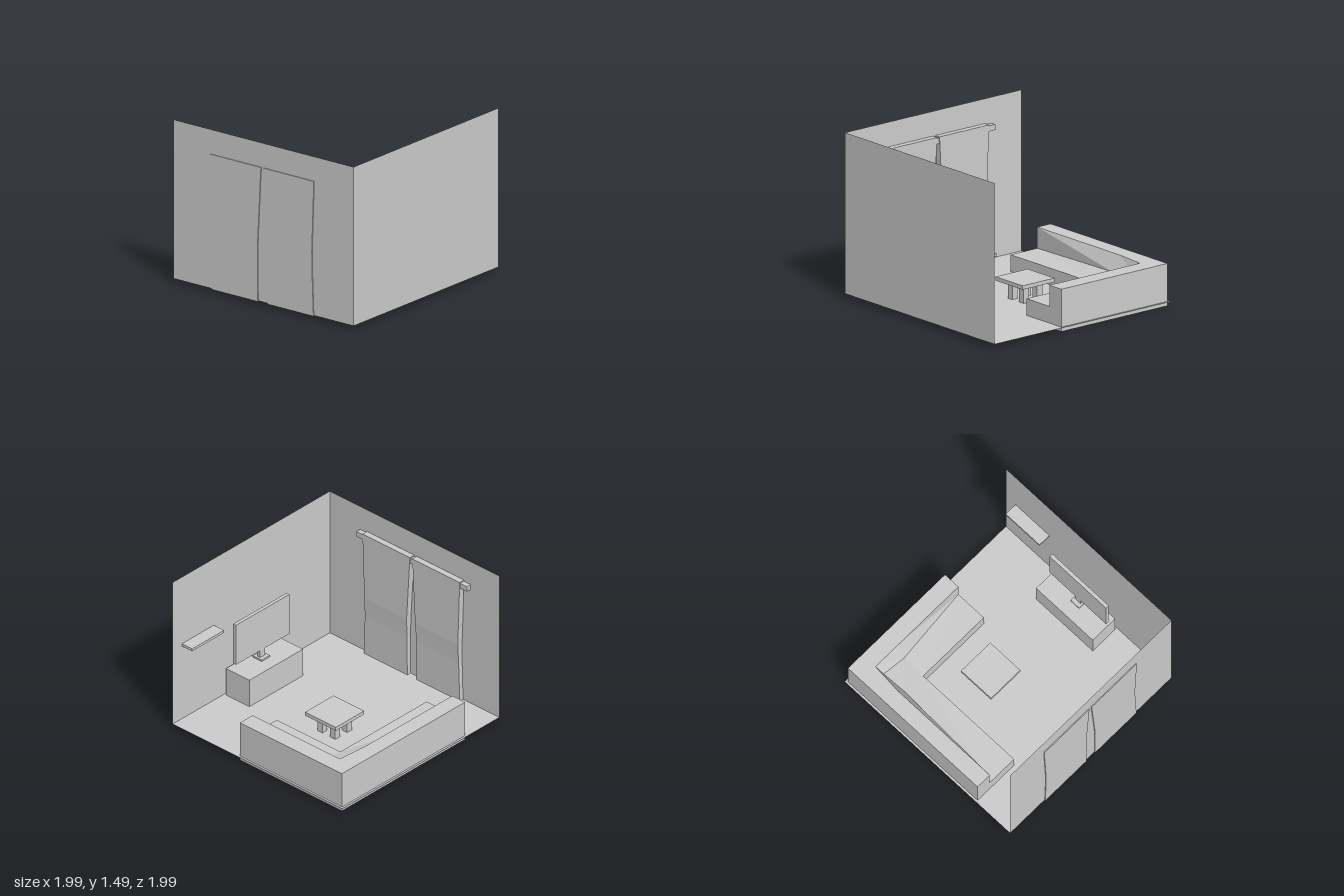
import * as THREE from 'three';

const grey = new THREE.MeshStandardMaterial({ color: 0xcccccc, side: THREE.DoubleSide });
grey.name = 'light grey';

function add(parent, name, geometry) {
  const mesh = new THREE.Mesh(geometry, grey);
  mesh.name = name;
  parent.add(mesh);
  return mesh;
}

// Box given by its extents along each axis
function box(parent, name, [x0, x1], [y0, y1], [z0, z1]) {
  const g = new THREE.BoxGeometry(x1 - x0, y1 - y0, z1 - z0);
  g.translate((x0 + x1) / 2, (y0 + y1) / 2, (z0 + z1) / 2);
  return add(parent, name, g);
}

// Flat-shaded solid from four-cornered faces
function faceted(faces) {
  const pos = [];
  for (const [a, b, c, d] of faces) {
    pos.push(...a, ...b, ...c);
    if (d) pos.push(...a, ...c, ...d);
  }
  const g = new THREE.BufferGeometry();
  g.setAttribute('position', new THREE.Float32BufferAttribute(pos, 3));
  g.computeVertexNormals();
  return g;
}

// Corner sofa with a sloping backrest
function sofaGeometry() {
  const T = 0.38, S = 0.19;
  const a = [-0.58, T, -0.975], b = [0.975, T, -0.975], c = [0.975, T, 0.22];
  const d = [0.815, T, 0.22], e = [0.815, T, -0.8], f = [0.51, T, -0.825];
  const g = [-0.58, T, -0.825], p = [0.815, T, -0.525];
  const h = [-0.58, S, -0.825], A = [0.51, 0.24, -0.752], B = [0.74, 0.29, -0.775];
  const C = [0.74, S + 0.01, -0.525], k = [0.815, S, 0.22];
  const m = [-0.58, S, -0.525], D = [0.51, S, -0.525], n = [0.51, S, 0.22];
  const a1 = [-0.58, S, -0.975], c1 = [0.975, S, 0.22];
  const low = ([x, , z]) => [x, 0, z];
  const [a0, b0, c0, m0, D0, n0] = [a, b, c, m, D, n].map(low);
  const q0 = [0.975, 0, -0.525];
  return faceted([
    [a, g, f], [a, f, e, b], [e, p, c, b], [p, d, c],             // top of the backrest
    [g, h, A, f], [f, A, B, e], [e, B, C, p], [p, C, k, d],       // backrest faces
    [h, m, D, A], [A, D, C, B], [D, n, k, C],                     // seats
    [m, m0, D0, D], [D, D0, n0, n],                               // seat fronts
    [n, n0, c0, c1], [d, k, c1, c], [a1, a0, m0, m], [a, a1, h, g], // ends
    [c, c0, b0, b], [b, b0, a0, a],                               // outer sides
    [b0, q0, m0, a0], [q0, c0, n0, D0],                           // underside
  ]);
}

// Curtain lofted through rows of [height, zMin, zMax, front x]
function curtainGeometry(rows) {
  const rings = rows.map(([y, z0, z1, x]) =>
    [[-0.998, y, z0], [-0.998, y, z1], [x, y, z1], [x, y, z0]]);
  const faces = [[...rings[0]].reverse(), rings[rings.length - 1]];
  for (let i = 0; i + 1 < rings.length; i++) {
    for (let j = 0; j < 4; j++) {
      const l = (j + 1) % 4;
      faces.push([rings[i][j], rings[i][l], rings[i + 1][l], rings[i + 1][j]]);
    }
  }
  return faceted(faces);
}

export function createModel() {
  const room = new THREE.Group();
  room.name = 'livingRoom';

  // Floor and two walls as thin sheets
  const X0 = -0.99, X1 = 0.995, Z0 = -0.995, Z1 = 0.99, F = 0.04, H = 1.485;
  add(room, 'floor', faceted([[[X0, F, Z0], [X0, F, Z1], [X1, F, Z1], [X1, F, Z0]]]));
  add(room, 'frontWall', faceted([[[X0, F, Z1], [X1, F, Z1], [X1, H, Z1], [X0, H, Z1]]]));
  add(room, 'sideWall', faceted([[[X0, F, Z0], [X0, F, Z1], [X0, H, Z1], [X0, H, Z0]]]));

  add(room, 'cornerSofa', sofaGeometry());

  // Coffee table
  const table = new THREE.Group();
  table.name = 'coffeeTable';
  room.add(table);
  box(table, 'tableTop', [-0.06, 0.3], [0.195, 0.23], [-0.275, 0.085]);
  for (const x of [0.015, 0.165]) {
    for (const z of [-0.2, -0.05]) {
      box(table, 'tableLeg', [x, x + 0.06], [F, 0.195], [z, z + 0.06]);
    }
  }

  // Cabinet with a television on a stand
  box(room, 'cabinet', [-0.335, 0.345], [F, 0.31], [0.695, 0.97]);
  const tv = new THREE.Group();
  tv.name = 'television';
  room.add(tv);
  box(tv, 'standBase', [-0.05, 0.055], [0.31, 0.325], [0.82, 0.925]);
  box(tv, 'standNeck', [-0.03, 0.035], [0.325, 0.4], [0.857, 0.89]);
  box(tv, 'screen', [-0.335, 0.34], [0.395, 0.797], [0.857, 0.89]);

  box(room, 'wallShelf', [0.475, 0.88], [0.78, 0.805], [0.87, Z1]);

  // Curtains on their rail
  box(room, 'curtainRail', [X0, -0.942], [1.2, 1.25], [-0.66, 0.635]);
  add(room, 'leftCurtain', curtainGeometry([
    [0.035, 0.045, 0.553, -0.95], [0.43, 0.045, 0.538, -0.945], [0.62, 0.04, 0.535, -0.935],
    [1.2, 0.005, 0.555, -0.935], [1.262, 0, 0.555, -0.935]]));
  add(room, 'rightCurtain', curtainGeometry([
    [0.035, -0.57, -0.06, -0.95], [0.43, -0.56, -0.065, -0.945], [0.62, -0.56, -0.06, -0.935],
    [1.2, -0.58, -0.03, -0.935], [1.262, -0.58, -0.025, -0.935]]));

  return room;
}
